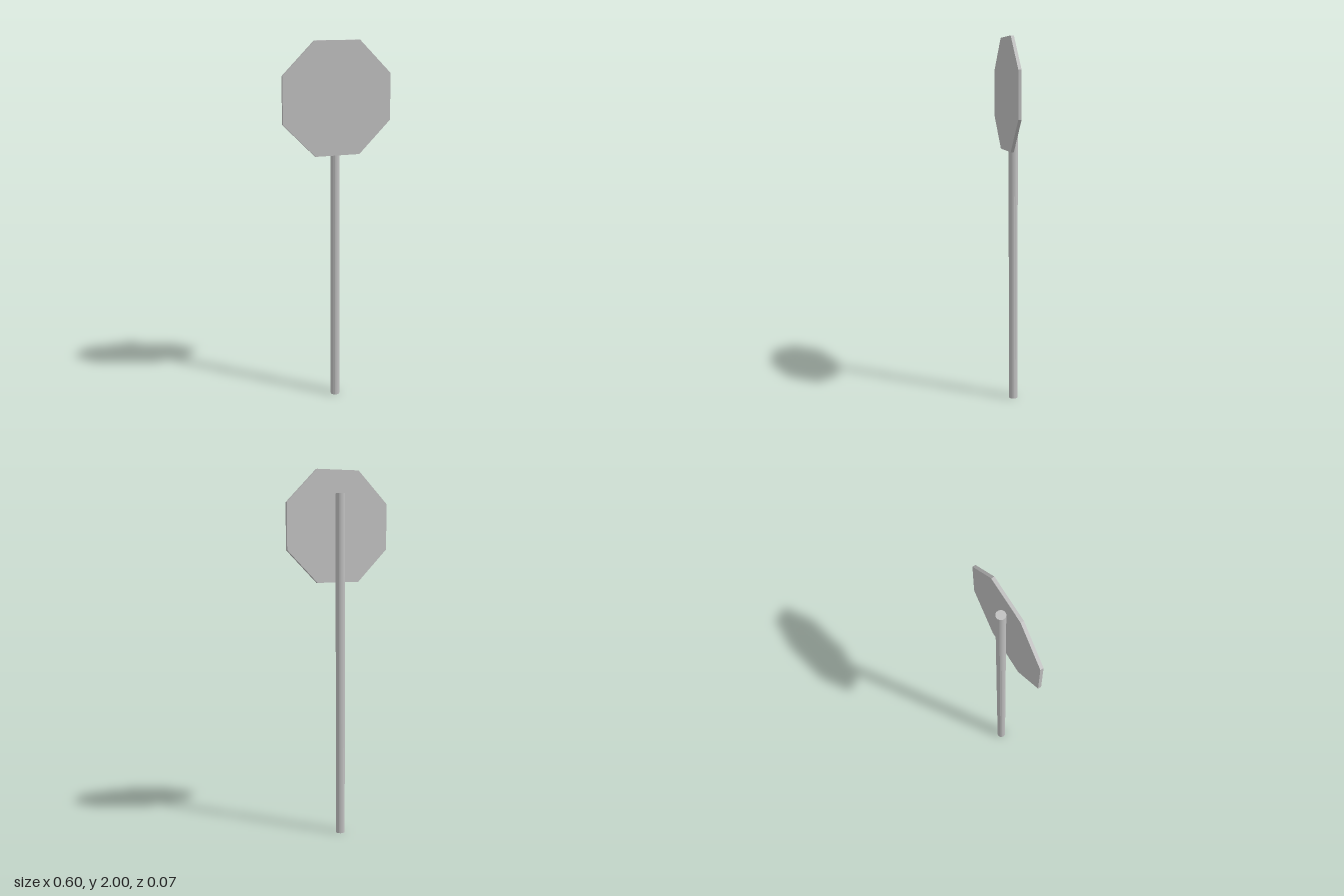
import * as THREE from 'three';

export function createModel() {
  const group = new THREE.Group();
  const grey = new THREE.MeshStandardMaterial({ color: 0xc0c0c0, flatShading: true });
  grey.name = 'plain grey';

  const add = (name, geometry, x, y, z) => {
    const mesh = new THREE.Mesh(geometry, grey);
    mesh.name = name;
    mesh.position.set(x, y, z);
    group.add(mesh);
  };

  // Round post standing behind the panel
  const postHeight = 1.875;
  add('post', new THREE.CylinderGeometry(0.025, 0.025, postHeight, 16), 0, postHeight / 2, -0.0085);

  // Eight-sided panel with flat edges at the top and sides
  const halfWidth = 0.299;
  const radius = halfWidth / Math.cos(Math.PI / 8);
  const panel = new THREE.CylinderGeometry(radius, radius, 0.017, 8);
  panel.rotateY(Math.PI / 8).rotateX(Math.PI / 2);
  add('signPanel', panel, 0, 2 - halfWidth, 0.025);

  return group;
}
